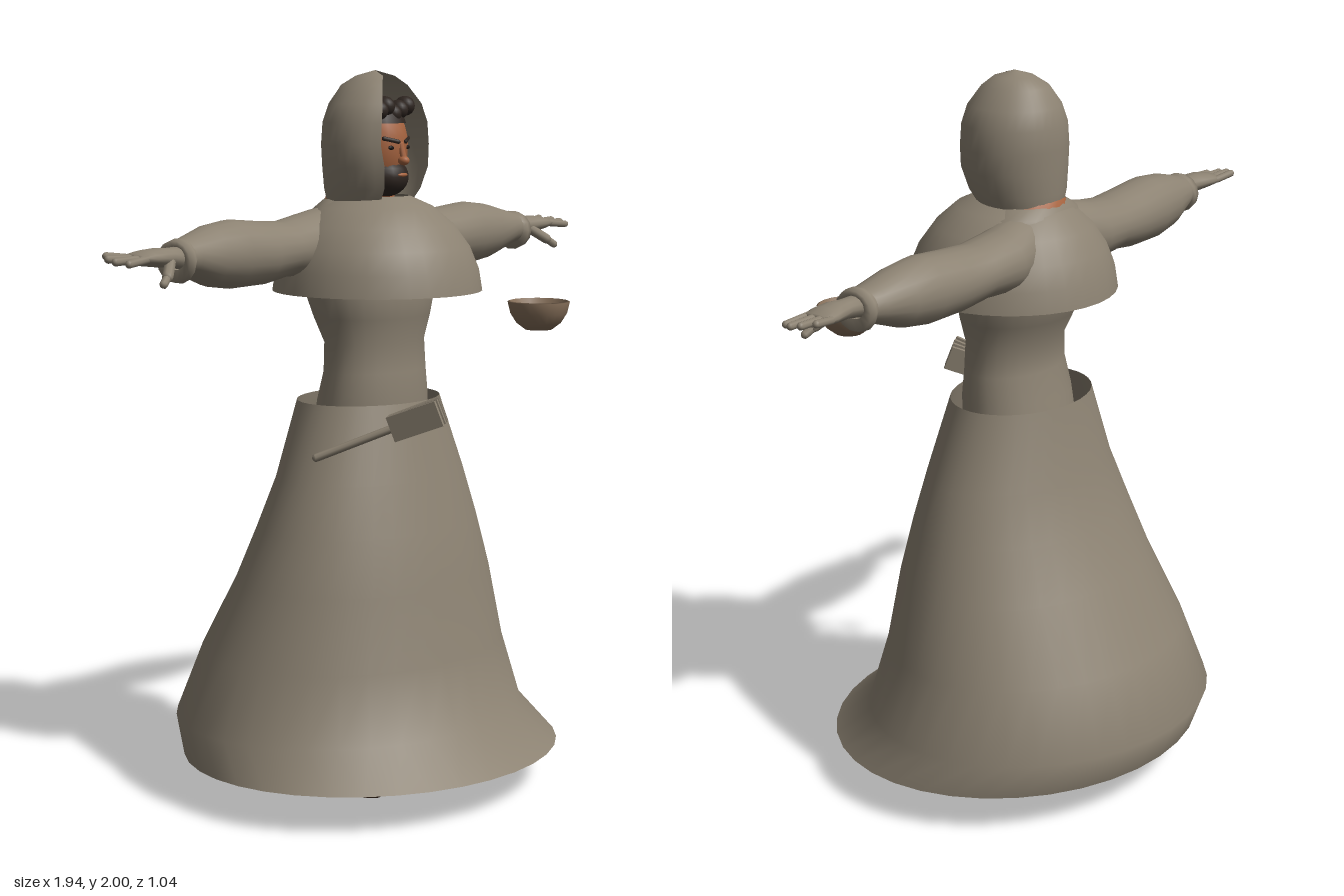
import * as THREE from 'three';

const mat = (name, color) => {
  const m = new THREE.MeshStandardMaterial({ color, side: THREE.DoubleSide });
  m.name = name;
  return m;
};

// Skin through elliptical rings along an axis. Row: [t, centreA, radiusA, centreB, radiusB, frontOpening]
function loft(axis, rows, { seg = 28, cap = false, side = 1 } = {}) {
  if (cap) {
    const end = r => [r[0], r[1], 0, r[3], 0];
    rows = [end(rows[0]), ...rows, end(rows[rows.length - 1])];
  }
  const open = rows[0].length > 5, cols = open ? seg + 1 : seg;
  const pos = [], idx = [];
  rows.forEach(([t, ca, ra, cb, rb, gap = 0]) => {
    const g = ra > 0 ? Math.asin(gap / ra) : 0;
    for (let i = 0; i < cols; i++) {
      const th = g + (2 * Math.PI - 2 * g) * i / seg;
      const a = ca + ra * Math.sin(th), b = cb + rb * Math.cos(th);
      const p = axis === 'y' ? [a, t, b] : axis === 'x' ? [t, a, b] : [a, b, t];
      pos.push(p[0] * side, p[1], p[2]);
    }
  });
  const flip = (axis === 'y') === (side > 0);
  for (let r = 0; r < rows.length - 1; r++) for (let i = 0; i < seg; i++) {
    const j = (i + 1) % cols;
    const a = r * cols + i, b = r * cols + j, c = a + cols, d = b + cols;
    if (flip) idx.push(a, b, d, a, d, c);
    else idx.push(a, d, b, a, c, d);
  }
  const geo = new THREE.BufferGeometry();
  geo.setAttribute('position', new THREE.Float32BufferAttribute(pos, 3));
  geo.setIndex(idx);
  geo.computeVertexNormals();
  return geo;
}

export function createModel() {
  const root = new THREE.Group();
  root.name = 'hoodedFigure';
  const robe = mat('robeCloth', 0x8c8272), skin = mat('skin', 0xa5633f), hair = mat('darkHair', 0x2e2520);
  const legs = mat('leggings', 0x7a634c), leather = mat('shoeLeather', 0x604631), sole = mat('shoeSole', 0x3e2c20);
  const wood = mat('bowlWood', 0x87705a), eye = mat('eye', 0x1c1512);

  const add = (name, geo, m, parent = root) => {
    const mesh = new THREE.Mesh(geo, m);
    mesh.name = name;
    parent.add(mesh);
    return mesh;
  };
  const ball = (name, m, c, r, parent = root, args = []) => {
    const mesh = add(name, new THREE.SphereGeometry(1, 18, 14, ...args), m, parent);
    mesh.position.set(...c);
    mesh.scale.set(...r);
    return mesh;
  };
  const rod = (name, m, a, b, r, parent = root) => {
    const p = new THREE.Vector3(...a), q = new THREE.Vector3(...b), d = q.clone().sub(p);
    const mesh = add(name, new THREE.CapsuleGeometry(r, d.length(), 3, 8), m, parent);
    mesh.position.copy(p).add(q).multiplyScalar(0.5);
    mesh.quaternion.setFromUnitVectors(new THREE.Vector3(0, 1, 0), d.normalize());
  };
  // Rings given by half width and front and back z
  const body = rows => rows.map(([y, rx, f, b]) => [y, 0, rx, (f + b) / 2, (f - b) / 2]);

  // Skirt, open at both ends, kicked forward at the front hem
  add('skirt', loft('y', body([
    [0.11, 0.57, 0.52, -0.48], [0.21, 0.535, 0.40, -0.52], [0.40, 0.475, 0.343, -0.44],
    [0.60, 0.41, 0.31, -0.33], [0.75, 0.36, 0.275, -0.265], [0.89, 0.31, 0.238, -0.21], [1.10, 0.228, 0.185, -0.17],
  ]), { seg: 36 }), robe);

  // Tunic body
  add('torso', loft('y', body([
    [0.93, 0.19, 0.15, -0.14], [1.10, 0.178, 0.16, -0.115], [1.18, 0.17, 0.15, -0.09], [1.26, 0.165, 0.147, -0.09],
    [1.33, 0.185, 0.165, -0.125], [1.40, 0.205, 0.175, -0.15], [1.50, 0.205, 0.16, -0.165],
    [1.58, 0.18, 0.12, -0.155], [1.625, 0.15, 0.08, -0.135], [1.65, 0.105, 0.06, -0.115],
  ])), robe);

  // Shoulder cape
  add('cape', loft('y', body([
    [1.40, 0.292, 0.328, -0.252], [1.46, 0.283, 0.318, -0.243], [1.52, 0.26, 0.293, -0.22],
    [1.58, 0.217, 0.25, -0.185], [1.63, 0.155, 0.195, -0.135], [1.66, 0.09, 0.13, -0.09],
  ]), { seg: 32 }), robe);

  // Hood, open at the face
  add('hood', loft('y', [
    [1.645, 0, 0.115, 0.01, 0.12, 0.07], [1.68, 0, 0.13, 0.02, 0.135, 0.08], [1.74, 0, 0.146, 0.03, 0.145, 0.095],
    [1.80, 0, 0.15, 0.03, 0.147, 0.105], [1.86, 0, 0.143, 0.03, 0.145, 0.10], [1.91, 0, 0.124, 0.03, 0.13, 0.085],
    [1.96, 0, 0.085, 0.027, 0.095, 0.055], [1.985, 0, 0.05, 0.03, 0.055, 0.025], [2.0, 0, 0, 0.03, 0, 0],
  ], { seg: 26 }), robe);

  // Head and face
  const head = new THREE.Group();
  head.name = 'head';
  root.add(head);
  add('neck', loft('y', body([
    [1.60, 0.13, 0.07, -0.13], [1.66, 0.095, 0.07, -0.115], [1.70, 0.07, 0.06, -0.06], [1.78, 0.06, 0.05, -0.05],
  ]), { seg: 18 }), skin, head);
  ball('skull', skin, [0, 1.795, 0.03], [0.083, 0.13, 0.095], head);
  ball('beard', hair, [0, 1.712, 0.062], [0.066, 0.056, 0.069], head);
  ball('lips', skin, [0, 1.718, 0.126], [0.02, 0.006, 0.008], head);
  ball('hairTop', hair, [0, 1.8, 0.027], [0.092, 0.135, 0.1], head, [0, Math.PI * 2, 0, Math.PI * 0.36]);
  ball('hairBack', hair, [0, 1.8, 0.022], [0.09, 0.133, 0.1], head, [Math.PI, Math.PI, 0, Math.PI * 0.72]);
  for (let i = 0; i < 5; i++)
    ball('hairTuft', hair, [-0.055 + i * 0.029, 1.893 + 0.012 * Math.sin(i * 2.1), 0.085], [0.024, 0.027, 0.03], head);
  ball('noseTip', skin, [0, 1.757, 0.13], [0.015, 0.013, 0.017], head);
  rod('noseBridge', skin, [0, 1.80, 0.12], [0, 1.762, 0.13], 0.009, head);
  for (const s of [-1, 1]) {
    ball('ear', skin, [s * 0.085, 1.78, 0.02], [0.011, 0.03, 0.02], head);
    ball('sideburn', hair, [s * 0.074, 1.765, 0.05], [0.01, 0.06, 0.022], head);
    rod('brow', hair, [s * 0.016, 1.808, 0.124], [s * 0.052, 1.817, 0.103], 0.006, head);
    ball('eye', eye, [s * 0.034, 1.792, 0.114], [0.012, 0.006, 0.005], head);
  }

  for (const side of [-1, 1]) {
    const name = side > 0 ? 'left' : 'right';
    // Sleeve with a loose cuff
    add(name + 'Sleeve', loft('x', [
      [0.10, 1.535, 0.10, -0.055, 0.09], [0.20, 1.53, 0.085, -0.065, 0.095], [0.30, 1.525, 0.075, -0.057, 0.092],
      [0.40, 1.521, 0.085, -0.052, 0.092], [0.51, 1.525, 0.091, -0.05, 0.09], [0.60, 1.526, 0.08, -0.045, 0.08],
      [0.69, 1.53, 0.052, -0.035, 0.062], [0.715, 1.53, 0.046, -0.03, 0.056],
    ], { seg: 20, side }), robe);
    add(name + 'Cuff', loft('x', [
      [0.71, 1.53, 0.045, -0.03, 0.055], [0.725, 1.522, 0.058, -0.027, 0.062],
      [0.745, 1.522, 0.053, -0.027, 0.058], [0.74, 1.53, 0.03, -0.025, 0.035],
    ], { seg: 14, side }), robe);
    // Hand
    const hand = new THREE.Group();
    hand.name = name + 'Hand';
    root.add(hand);
    add('palm', loft('x', [
      [0.72, 1.53, 0.03, -0.025, 0.035], [0.77, 1.534, 0.025, -0.023, 0.03], [0.81, 1.536, 0.025, -0.023, 0.042],
      [0.85, 1.537, 0.021, -0.027, 0.048], [0.885, 1.537, 0.013, -0.03, 0.046],
    ], { seg: 14, cap: true, side }), robe, hand);
    for (let i = 0; i < 4; i++) {
      const z = -0.066 + i * 0.024, tip = [0.935, 0.958, 0.962, 0.945][i];
      rod('finger', robe, [side * 0.87, 1.537, z], [side * tip, 1.545 - i * 0.005, z * 1.25 + 0.007], 0.0105, hand);
    }
    rod('thumb', robe, [side * 0.785, 1.522, 0], [side * 0.825, 1.492, 0.03], 0.015, hand);
    rod('thumbTip', robe, [side * 0.825, 1.492, 0.03], [side * 0.85, 1.475, 0.04], 0.011, hand);

    // Leg and shoe
    const x = 0.14;
    add(name + 'Leg', loft('y', [
      [0.06, x, 0.042, -0.06, 0.046], [0.14, x, 0.042, -0.06, 0.046], [0.30, x, 0.056, -0.06, 0.062],
      [0.42, x - 0.01, 0.058, -0.05, 0.064], [0.52, x - 0.02, 0.058, -0.03, 0.062],
      [0.75, x - 0.04, 0.078, -0.01, 0.085], [0.98, x - 0.05, 0.088, 0, 0.1],
    ], { seg: 16, side }), legs);
    const shoe = [
      [-0.115, x, 0.028, 0.05, 0.035], [-0.10, x, 0.042, 0.062, 0.052], [-0.04, x, 0.046, 0.066, 0.056],
      [0.02, x, 0.05, 0.055, 0.043], [0.09, x + 0.002, 0.06, 0.043, 0.031],
      [0.14, x, 0.05, 0.035, 0.022], [0.16, x, 0.025, 0.031, 0.012],
    ];
    add(name + 'Shoe', loft('z', shoe, { seg: 16, cap: true, side }), leather);
    add(name + 'Sole', loft('z', shoe.map(([z, c, r]) => [z, c, r, 0.012, 0.01]), { seg: 16, cap: true, side }), sole);
  }

  // Begging bowl, floating at the left
  const bowl = add('bowl', new THREE.LatheGeometry([
    [0, 0], [0.038, 0], [0.062, 0.018], [0.079, 0.045], [0.087, 0.078],
    [0.081, 0.08], [0.072, 0.048], [0.052, 0.022], [0, 0.012],
  ].map(p => new THREE.Vector2(...p)), 20), wood);
  bowl.position.set(0.322, 1.284, 0.357);

  // Scourge: a handle and four flat tails fanned out
  const scourge = new THREE.Group();
  scourge.name = 'scourge';
  scourge.position.set(-0.2, 1.055, 0.25);
  scourge.lookAt(-0.12, 1.115, 0.385);
  root.add(scourge);
  const inv = new THREE.Vector3(-0.325, 0.975, 0.09);
  scourge.updateMatrixWorld(true);
  scourge.worldToLocal(inv);
  rod('handle', robe, inv.toArray(), [0, 0, 0.01], 0.011, scourge);
  for (let i = 0; i < 4; i++) {
    const tail = add('tail', new THREE.BoxGeometry(0.012, 0.07, 0.145).translate(0, 0, 0.0725), robe, scourge);
    tail.position.x = (i - 1.5) * 0.014;
    tail.rotation.y = (i - 1.5) * 0.13;
  }
  return root;
}
